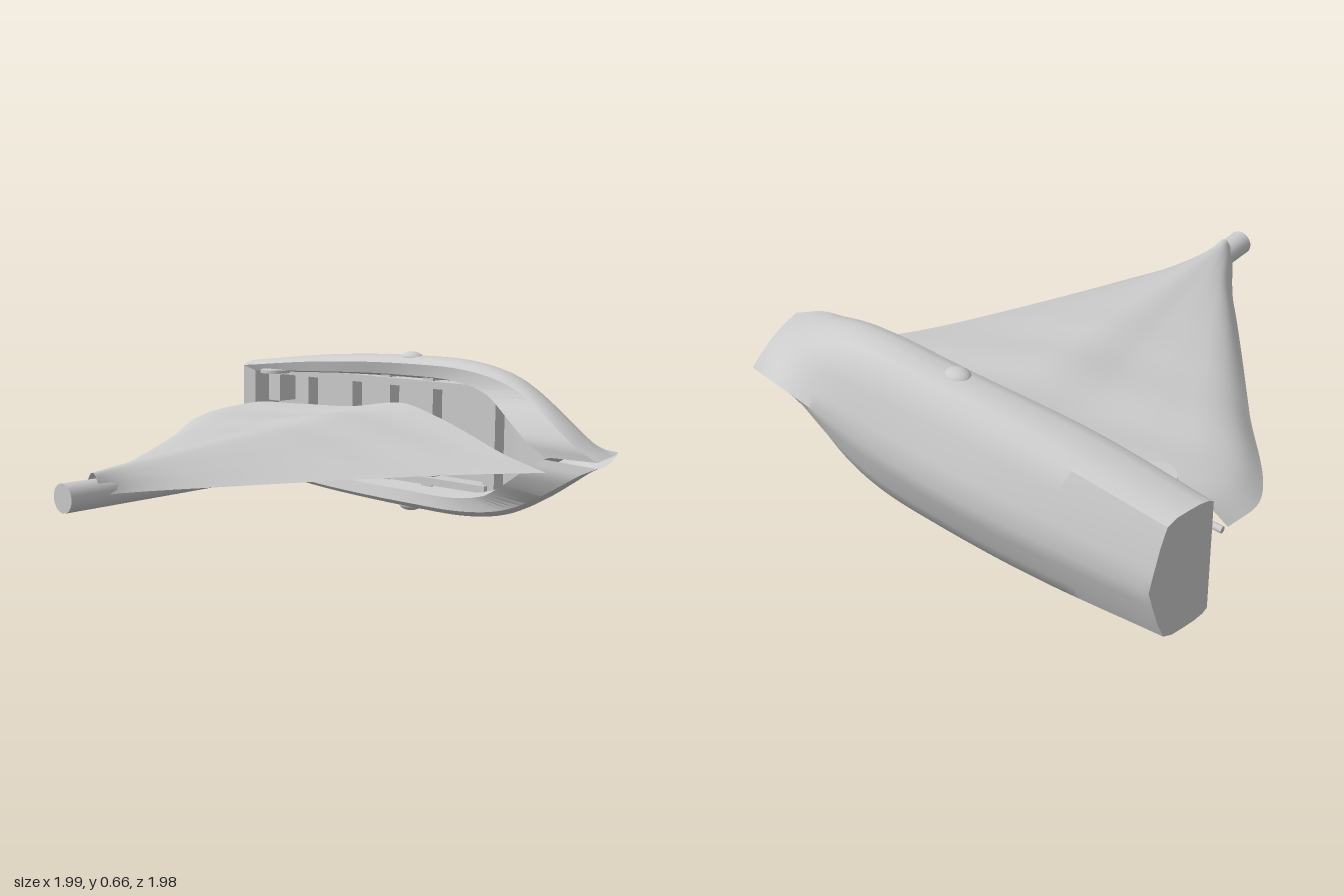
import * as THREE from 'three';
import { toCreasedNormals } from 'three/addons/utils/BufferGeometryUtils.js';

const mat = new THREE.MeshStandardMaterial({ color: 0xcccccc, side: THREE.DoubleSide });
const MID = 0.333; // y of the hull's centre plane

// Smooth function through [t, value] pairs
function curve(pairs) {
  const t = new Float32Array(pairs.map((p) => p[0]));
  const v = new Float32Array(pairs.map((p) => p[1]));
  const c = new THREE.CubicInterpolant(t, v, 1, new Float32Array(1));
  return (x) => c.evaluate(x)[0];
}

// Surface from rows of points
function loft(rows, crease) {
  const n = rows[0].length, idx = [];
  for (let i = 0; i < rows.length - 1; i++) {
    for (let j = 0; j < n - 1; j++) {
      const a = i * n + j, b = a + 1, c = a + n, d = c + 1;
      idx.push(a, b, c, b, d, c);
    }
  }
  const g = new THREE.BufferGeometry();
  g.setAttribute('position', new THREE.Float32BufferAttribute(rows.flat(2), 3));
  g.setIndex(idx);
  g.computeVertexNormals();
  return crease ? toCreasedNormals(g, crease) : g;
}

function add(group, name, geometry, x = 0, y = 0, z = 0) {
  const m = new THREE.Mesh(geometry, mat);
  m.name = name;
  m.position.set(x, y, z);
  group.add(m);
  return m;
}

function rod(group, name, a, b, r0, r1) {
  const p = new THREE.Vector3(...a), q = new THREE.Vector3(...b);
  const dir = q.clone().sub(p);
  const m = add(group, name, new THREE.CylinderGeometry(r1, r0, dir.length(), 24));
  m.position.copy(p).add(q).multiplyScalar(0.5);
  m.quaternion.setFromUnitVectors(new THREE.Vector3(0, 1, 0), dir.normalize());
}

// Hull lines along its length: 0 = stern, 1 = bow
const beam = curve([[0, 0.243], [0.25, 0.295], [0.5, 0.316], [0.65, 0.308], [0.75, 0.268], [0.85, 0.178], [0.92, 0.1], [0.97, 0.04], [1, 0.012]]);
const inner = curve([[0, 0.2], [0.2, 0.22], [0.5, 0.238], [0.73, 0.225], [0.85, 0.165], [0.94, 0.085], [1, 0.004]]);
const rimZ = curve([[0, -0.705], [0.2, -0.7], [0.5, -0.72], [0.7, -0.7], [0.8, -0.67], [0.9, -0.6], [0.95, -0.573], [1, -0.57]]);
const keelZ = curve([[0, -0.95], [0.4, -0.994], [0.6, -0.982], [0.75, -0.955], [1, -0.905]]);
const chineZ = curve([[0, -0.885], [0.4, -0.895], [0.7, -0.885], [0.85, -0.85], [1, -0.78]]);
const chineF = curve([[0, 0.93], [0.5, 0.89], [0.8, 0.8], [1, 0.5]]);

// Half section from keel over the rim to the floor
function halfSection(s) {
  const b = beam(s), r = rimZ(s), k = keelZ(s), c = chineZ(s), cf = chineF(s);
  const bi = Math.min(inner(s), b * 0.85 + 0.002);
  const outer = [
    [0, k], [cf * 0.3, k + (c - k) * 0.25], [cf * 0.7, k + (c - k) * 0.62], [cf, c],
    [(1 + cf) / 2 + 0.03, c + (r - c) * 0.2], [1, c + (r - c) * 0.48], [0.995, c + (r - c) * 0.72],
    [0.965, c + (r - c) * 0.9], [0.91, r],
  ].map(([f, z]) => {
    const d = (r - z) / (r - k);
    const x = THREE.MathUtils.lerp(-0.985 + 0.055 * d, 1 - 0.13 * d * (0.55 + 0.45 * d), s);
    return [x, f * b, z];
  });
  const xi = -0.92 + 1.68 * s, floor = -0.87 + 0.1 * Math.max(0, (s - 0.8) / 0.2);
  return [...outer, [xi, bi, r - 0.012], [xi, bi * 0.97, r - 0.06], [xi, bi * 0.9, floor], [xi, 0, floor]];
}

function makeHull() {
  const hull = new THREE.Group();
  hull.name = 'hull';
  const N = 64, rows = [];
  for (let i = 0; i <= N; i++) {
    const half = halfSection(i / N);
    const left = half.map(([x, y, z]) => [x, MID + y, z]);
    const right = half.map(([x, y, z]) => [x, MID - y, z]).reverse();
    rows.push([...left, ...right.slice(1)]);
  }
  add(hull, 'shell', loft(rows, 0.7));

  // flat stern
  const edge = halfSection(0).slice(0, 9);
  const strip = [1, -1].map((k) => edge.map(([x, y, z]) => [x, MID + k * y, z]));
  add(hull, 'transom', loft(strip));
  const stern = halfSection(0);
  const sternEdges = [8, 9, 11].map((j) => [1, -1].map((k) => [stern[j][0], MID + k * stern[j][1], stern[j][2]]));
  add(hull, 'sternRim', loft(sternEdges, 0.5));

  // frames across the cockpit
  for (const x of [-0.7, -0.43, -0.215, 0.02, 0.34]) {
    const w = inner((x + 0.92) / 1.68) * 1.9;
    add(hull, 'crossFrame', new THREE.BoxGeometry(0.055, w, 0.07), x, MID, -0.845);
  }
  // bulwark ledges and stern lockers
  for (const side of [1, -1]) {
    add(hull, 'sideLedge', new THREE.BoxGeometry(1.15, 0.03, 0.08), -0.24, MID + side * 0.2, -0.83);
    add(hull, 'sternLocker', new THREE.BoxGeometry(0.07, 0.12, 0.1), -0.85, MID + side * 0.125, -0.82);
    // winch disc on the rim, and fitting on the outer side
    add(hull, 'winch', new THREE.CylinderGeometry(0.065, 0.065, 0.014, 24), -0.775, MID + side * 0.208, -0.703);
    const knob = add(hull, 'sideFitting', new THREE.SphereGeometry(1, 16, 12), -0.045, MID + side * 0.305, -0.785);
    knob.scale.set(0.05, 0.027, 0.04);
  }
  return hull;
}

// Sail outline and height; u runs across, v from foot to peak
const leftX = curve([[0, -0.955], [0.13, -0.96], [0.4, -0.675], [0.75, -0.3], [0.84, -0.2], [1, -0.05]]);
const rightX = curve([[0, 0.79], [0.18, 0.6], [0.39, 0.43], [0.71, 0.2], [0.94, 0.05], [1, 0.035]]);
const footZ = curve([[0, 0], [0.15, -0.01], [0.32, -0.06], [0.5, -0.097], [0.6, -0.1], [0.75, -0.08], [0.9, -0.015], [1, 0]]);
const footY = curve([[0, 0.33], [0.05, 0.385], [0.12, 0.415], [0.25, 0.42], [0.4, 0.425], [0.56, 0.46], [0.66, 0.425], [0.78, 0.37], [1, 0.285]]);
const peakY = curve([[0, 0.25], [0.1, 0.305], [0.3, 0.345], [0.57, 0.355], [0.8, 0.33], [1, 0.285]]);

function makeSail() {
  const rows = [];
  for (let i = 0; i <= 60; i++) {
    const u = i / 60, row = [];
    for (let j = 0; j <= 50; j++) {
      const v = j / 50, w = Math.pow(v, 0.85);
      const fold = 0.008 * Math.sin(v * 26 + u * 4) * Math.sin(Math.PI * u) * Math.max(0, 1 - 2 * v);
      row.push([
        THREE.MathUtils.lerp(leftX(v), rightX(v), u),
        THREE.MathUtils.lerp(footY(u), peakY(u), w) + fold,
        -0.56 + 1.43 * v + footZ(u) * Math.pow(1 - v, 3),
      ]);
    }
    rows.push(row);
  }
  return loft(rows);
}

export function createModel() {
  const boat = new THREE.Group();
  boat.name = 'sailboat';
  boat.add(makeHull());
  add(boat, 'sail', makeSail());
  rod(boat, 'mast', [-0.005, 0.295, -0.88], [-0.01, 0.285, 0.99], 0.037, 0.05);
  // thin boom below the foot of the sail
  rod(boat, 'boom', [-0.96, 0.35, -0.6], [-0.45, 0.345, -0.605], 0.012, 0.012);
  rod(boat, 'boomEnd', [-0.45, 0.345, -0.605], [-0.01, 0.3, -0.66], 0.012, 0.014);
  return boat;
}
